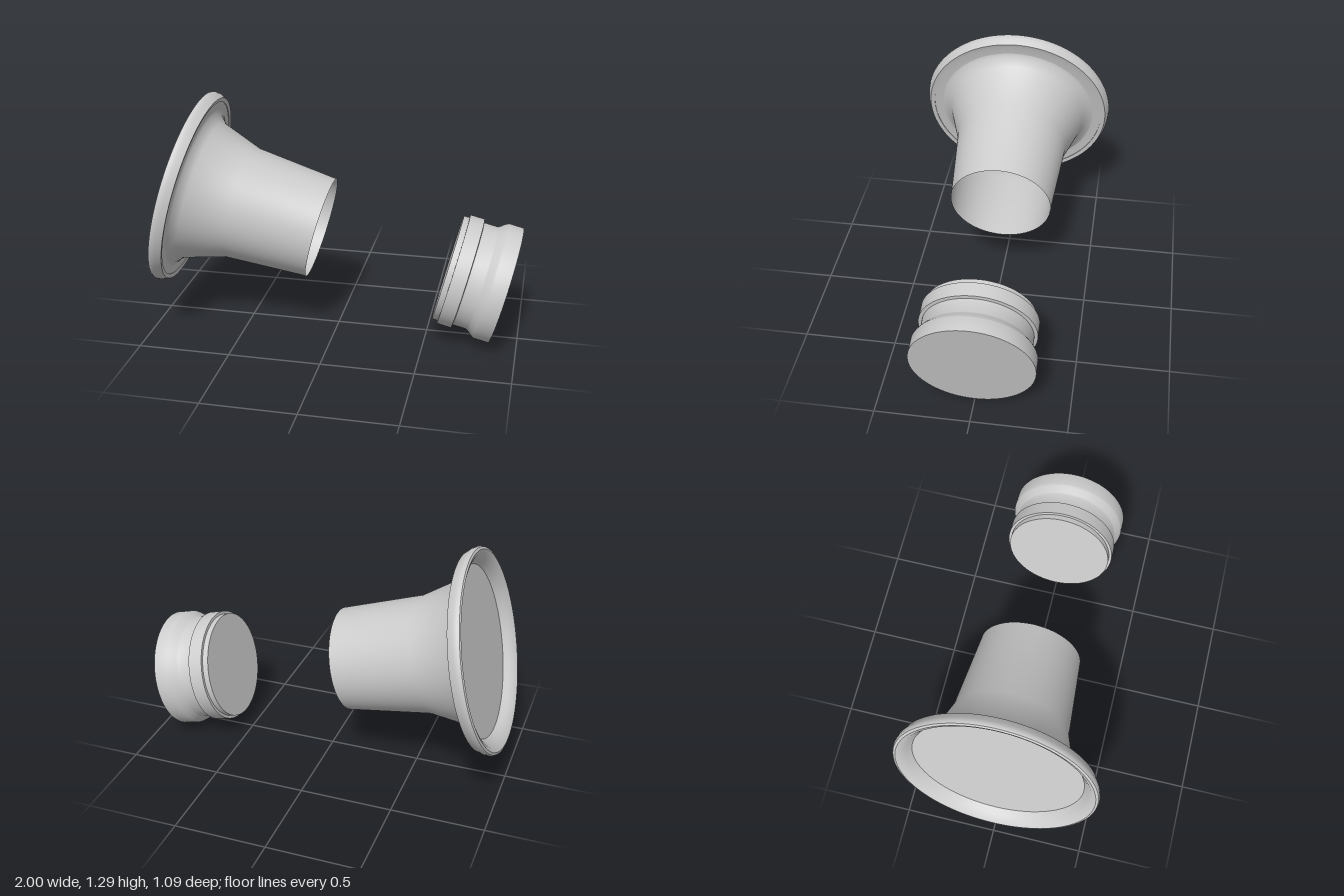
import * as THREE from 'three';
import { toCreasedNormals } from 'three/addons/utils/BufferGeometryUtils.js';

export function createModel() {
  const grey = new THREE.MeshStandardMaterial({ color: 0xcccccc, side: THREE.DoubleSide });
  grey.name = 'plain grey';

  const model = new THREE.Group();
  model.name = 'hornAndCap';

  // Shared tilted axis: local +y runs from the flared end towards the cap
  const axis = new THREE.Group();
  axis.name = 'tiltedAxis';
  axis.position.set(-0.0975, 0.5725, 0);
  axis.rotation.z = THREE.MathUtils.degToRad(-104);
  model.add(axis);

  // Turned part from [radius, distance along axis] pairs
  function turned(name, profile, crease = 0.4) {
    const points = profile.map(([r, t]) => new THREE.Vector2(r, t));
    const geometry = toCreasedNormals(new THREE.LatheGeometry(points, 96), crease);
    const mesh = new THREE.Mesh(geometry, grey);
    mesh.name = name;
    axis.add(mesh);
  }

  // Open tube with a flared base
  turned('flaredTube', [
    [0.45, -0.735], [0.432, -0.729], [0.392, -0.69], [0.315, -0.46], [0.28, 0],
  ], 0.8);

  // Rounded rim around the flare, with a shallow dish on its outer face
  turned('rim', [
    [0.455, -0.735], [0.478, -0.764], [0.503, -0.789], [0.526, -0.799],
    [0.539, -0.794], [0.544, -0.782], [0.54, -0.76], [0.524, -0.727],
    [0.5, -0.731], [0.5, -0.735], [0.45, -0.735],
  ], 0.7);

  // Flat plate closing the wide end
  turned('endPlate', [[0, -0.735], [0.455, -0.735]]);

  // Separate solid cap with a raised band and a wider head
  turned('cap', [
    [0, 0.723], [0.293, 0.723], [0.293, 0.755], [0.309, 0.755], [0.309, 0.835],
    [0.29, 0.838], [0.29, 0.915], [0.296, 0.925], [0.319, 0.955], [0.325, 0.968],
    [0.325, 1.048], [0, 1.048],
  ], 0.7);

  return model;
}
